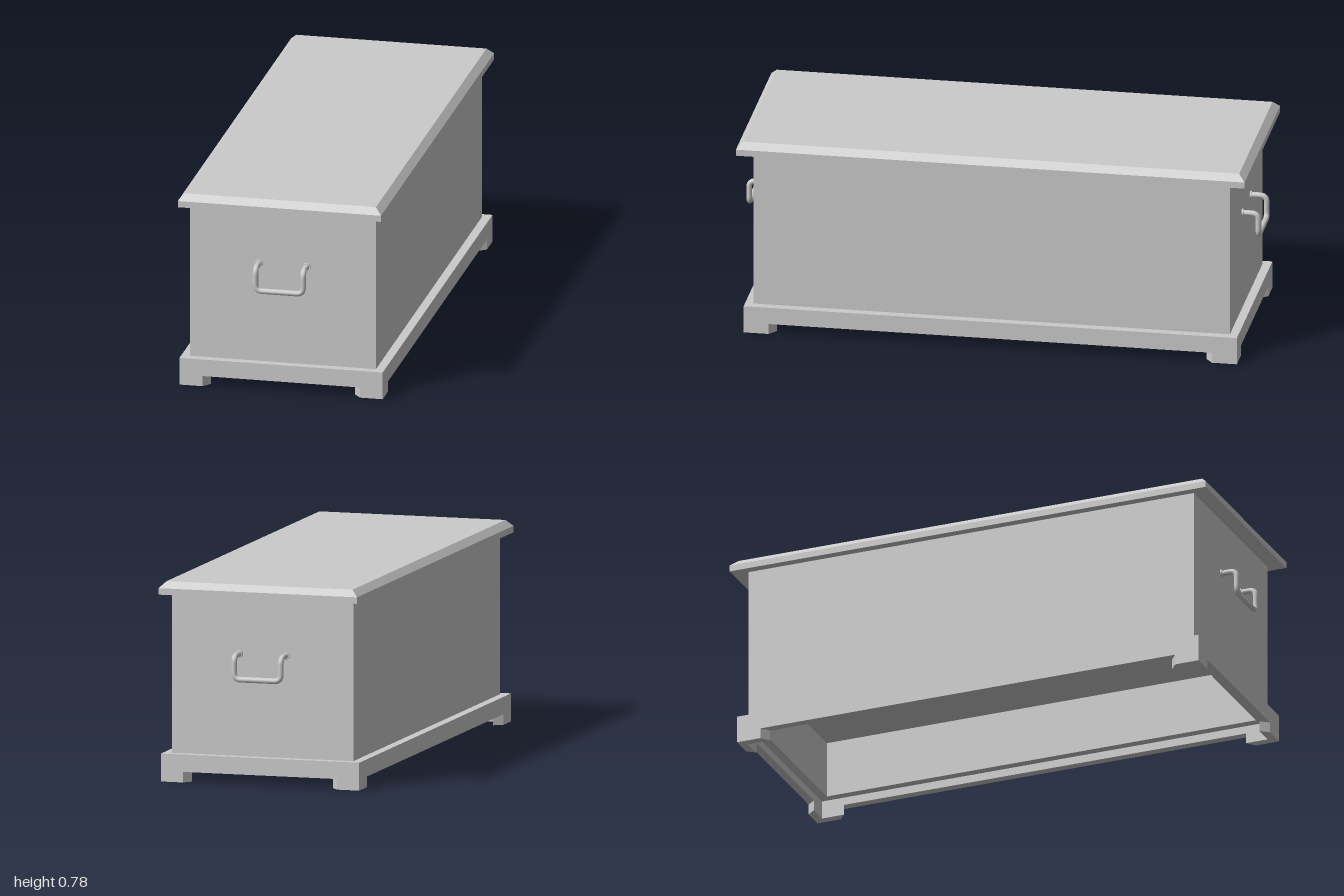
import * as THREE from 'three';

const material = new THREE.MeshStandardMaterial({ color: 0xcccccc });

function addMesh(parent, name, geometry) {
  const mesh = new THREE.Mesh(geometry, material);
  mesh.name = name;
  parent.add(mesh);
  return mesh;
}

const rectangle = (x, z) => [[-x, -z], [x, -z], [x, z], [-x, z]].map(p => new THREE.Vector2(...p));

// Raises a plan outline (x, z) from y0 to y1, with an optional hole
function plan(points, y0, y1, hole) {
  const shape = new THREE.Shape(points);
  if (hole) shape.holes.push(new THREE.Path(hole));
  const geometry = new THREE.ExtrudeGeometry(shape, { depth: y1 - y0, bevelEnabled: false });
  return geometry.rotateX(-Math.PI / 2).translate(0, y0, 0);
}

// Path through points with rounded corners
function roundedPath(points, radius) {
  const path = new THREE.CurvePath();
  let start = points[0];
  for (let i = 1; i < points.length - 1; i++) {
    const p = points[i];
    const toward = q => q.clone().sub(p).setLength(radius).add(p);
    const a = toward(points[i - 1]), b = toward(points[i + 1]);
    path.add(new THREE.LineCurve3(start, a));
    path.add(new THREE.QuadraticBezierCurve3(a, p, b));
    start = b;
  }
  path.add(new THREE.LineCurve3(start, points[points.length - 1]));
  return path;
}

function createHandle(name) {
  const handle = new THREE.Group();
  handle.name = name;
  const x = 0.0935, top = 0.503, bottom = 0.413, wall = 0.922, out = 0.989;
  const points = [
    [-x, top, wall], [-x, top, out], [-x, bottom, out],
    [x, bottom, out], [x, top, out], [x, top, wall],
  ].map(p => new THREE.Vector3(...p));
  addMesh(handle, 'handleBar', new THREE.TubeGeometry(roundedPath(points, 0.026), 60, 0.011, 12));

  // Slim round mounts against the chest wall
  for (const side of [-1, 1]) {
    const mount = new THREE.CylinderGeometry(0.0145, 0.0155, 0.008, 16);
    mount.rotateX(Math.PI / 2).translate(side * x, top, 0.928);
    addMesh(handle, 'handleMount', mount);
  }
  return handle;
}

export function createModel() {
  const chest = new THREE.Group();
  chest.name = 'chest';
  const bodyX = 0.3645, bodyZ = 0.925, baseX = 0.3985, baseZ = 0.958;

  // Body walls and raised bottom panel
  addMesh(chest, 'bodyWalls', plan(rectangle(bodyX, bodyZ), 0.072, 0.728, rectangle(0.33, 0.891)));
  addMesh(chest, 'bottomPanel', plan(rectangle(0.331, 0.892), 0.297, 0.32));

  // Plinth frame around the body
  addMesh(chest, 'plinth', plan(rectangle(baseX, baseZ), 0.041, 0.108, rectangle(bodyX, bodyZ)));

  // L-shaped corner feet with slanted ends
  for (const sx of [-1, 1]) {
    for (const sz of [-1, 1]) {
      const outline = [
        [baseX, baseZ], [0.309, baseZ], [0.283, bodyZ],
        [bodyX, bodyZ], [bodyX, 0.835], [baseX, 0.861],
      ].map(([x, z]) => new THREE.Vector2(sx * x, sz * z));
      addMesh(chest, 'foot', plan(outline, 0, 0.041));
    }
  }

  // Lid with the upper half of its edge chamfered
  const lid = new THREE.BoxGeometry(0.797, 0.05, 1.976, 1, 2, 1).toNonIndexed();
  const position = lid.attributes.position;
  for (let i = 0; i < position.count; i++) {
    if (position.getY(i) > 0.01) {
      position.setX(i, position.getX(i) - Math.sign(position.getX(i)) * 0.025);
      position.setZ(i, position.getZ(i) - Math.sign(position.getZ(i)) * 0.025);
    }
  }
  lid.computeVertexNormals();
  lid.translate(0, 0.752, 0);
  addMesh(chest, 'lid', lid);

  // A drop handle on each end
  const backHandle = createHandle('backHandle');
  backHandle.rotation.y = Math.PI;
  chest.add(createHandle('frontHandle'), backHandle);

  return chest;
}
